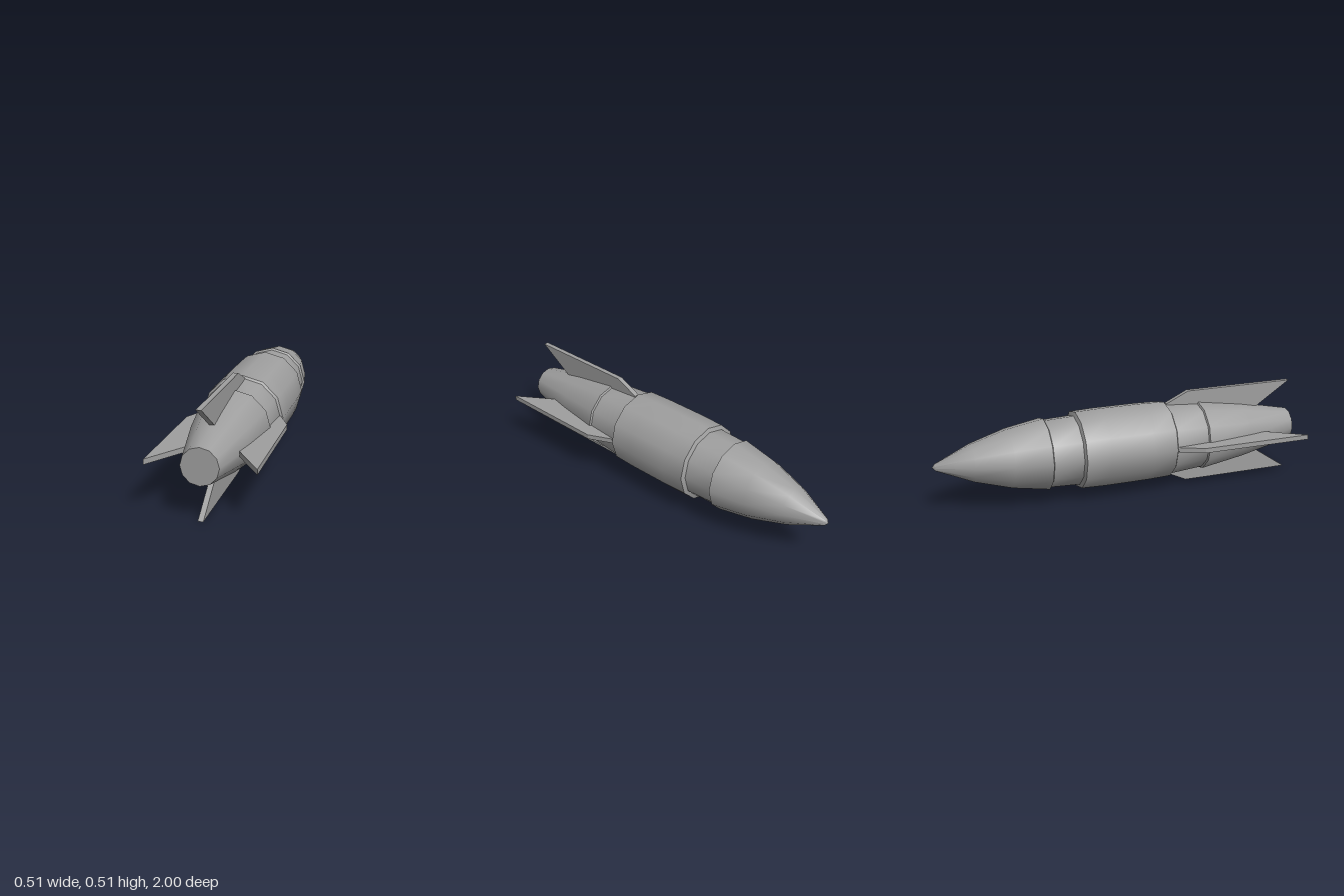
import * as THREE from 'three';
import { toCreasedNormals } from 'three/addons/utils/BufferGeometryUtils.js';

const material = new THREE.MeshStandardMaterial({ color: 0x9f9f9f });
const AXIS_Y = 0.257;

// Twelve-sided turned part along z; profile is [radius, z] from nose to tail
function turned(name, profile) {
  const points = profile.map(([r, z]) => new THREE.Vector2(r, z));
  const geometry = new THREE.LatheGeometry(points, 12).rotateX(Math.PI / 2);
  const mesh = new THREE.Mesh(toCreasedNormals(geometry, THREE.MathUtils.degToRad(40)), material);
  mesh.name = name;
  return mesh;
}

// Swept fin plate; outline is [z, radius], with its root buried in the hull
function finGeometry() {
  const thickness = 0.026;
  const outline = [[0.26, 0.1], [0.26, 0.198], [0.385, 0.257], [0.998, 0.257], [0.763, 0.1]];
  const shape = new THREE.Shape(outline.map(([z, r]) => new THREE.Vector2(z, r)));
  return new THREE.ExtrudeGeometry(shape, { depth: thickness, bevelEnabled: false })
    .translate(0, 0, -thickness / 2)
    .rotateY(-Math.PI / 2);
}

export function createModel() {
  const model = new THREE.Group();
  model.name = 'rocket';
  const hull = new THREE.Group();
  hull.name = 'hull';
  hull.position.y = AXIS_Y;
  model.add(hull);

  // Hull sections from nose tip to tail, with steep bevelled lips at the joints
  hull.add(
    turned('noseCone', [[0, -1], [0.018, -0.985], [0.1, -0.8], [0.157, -0.61], [0.19, -0.42], [0.172, -0.41]]),
    turned('frontCollar', [[0.179, -0.416], [0.186, -0.25]]),
    turned('body', [[0.176, -0.262], [0.207, -0.249], [0.211, -0.12], [0.211, 0.12], [0.207, 0.249], [0.186, 0.262]]),
    turned('rearCollar', [[0.196, 0.25], [0.181, 0.446]]),
    turned('tailCone', [[0.172, 0.436], [0.191, 0.446], [0.152, 0.7], [0.09, 0.998], [0, 0.998]])
  );

  // Four fins around the tail
  const geometry = finGeometry();
  ['topFin', 'leftFin', 'bottomFin', 'rightFin'].forEach((name, i) => {
    const fin = new THREE.Mesh(geometry, material);
    fin.name = name;
    fin.rotation.z = -i * Math.PI / 2;
    hull.add(fin);
  });

  return model;
}
